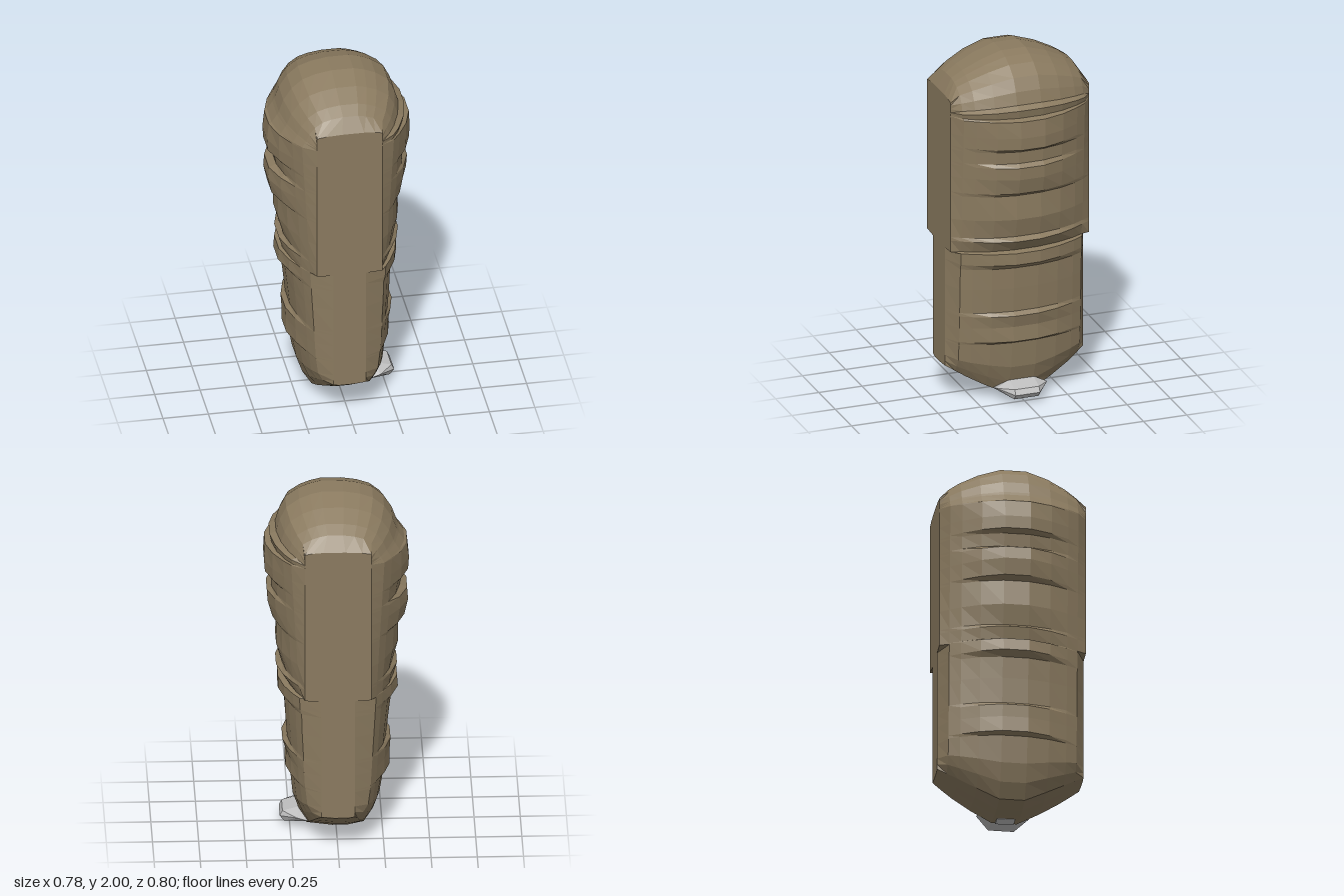
import * as THREE from 'three';
import { ConvexGeometry } from 'three/addons/geometries/ConvexGeometry.js';

// Mid outline, bottom to top: height, reach to -x, reach to +x
const ROWS = [
  [0, 0.06, 0.02], [0.02, 0.15, 0.16], [0.1, 0.2, 0.2], [0.2, 0.235, 0.235], [0.35, 0.26, 0.25],
  [0.365, 0.29, 0.275], [0.45, 0.29, 0.27], [0.52, 0.295, 0.29], [0.54, 0.27, 0.265],
  [0.68, 0.285, 0.275], [0.8, 0.3, 0.28], [0.83, 0.335, 0.315], [0.897, 0.33, 0.315],
  [0.903, 0.31, 0.272], [0.97, 0.33, 0.325], [0.99, 0.305, 0.295], [1.1, 0.335, 0.325],
  [1.24, 0.335, 0.32], [1.26, 0.37, 0.345], [1.35, 0.39, 0.37], [1.42, 0.385, 0.375],
  [1.44, 0.345, 0.35], [1.51, 0.36, 0.355], [1.53, 0.39, 0.385], [1.6, 0.395, 0.39],
  [1.695, 0.385, 0.385], [1.705, 0.37, 0.35], [1.75, 0.34, 0.36], [1.77, 0.33, 0.325],
  [1.84, 0.305, 0.305], [1.91, 0.26, 0.27], [1.96, 0.2, 0.2], [1.985, 0.13, 0.14], [2, 0.04, 0.08],
];

// Depth slices: z, ledge strength, width ratio, lowest y, highest y
const HALF = [
  [0.07, 1, 1, 0, 2], [0.19, 0.6, 0.93, 0.065, 1.96], [0.29, 0.15, 0.81, 0.125, 1.91],
  [0.35, 0, 0.7, 0.165, 1.87], [0.4, 0, 0, 0.197, 1.79],
];
const SLICES = [...HALF.map(([z, ...rest]) => [-z, ...rest]).reverse(), ...HALF];

// Width of one side of the body at a slice
function reach(x, y, strength, ratio) {
  if (ratio === 0) return Math.min(x, y < 0.9 ? 0.09 : 0.18);
  const base = Math.min(x, 0.225 + 0.08 * y);
  return (base + (x - base) * strength) * ratio;
}

// Ends of the body round off towards the front and back
function height(y, low, high) {
  if (y < 0.3) return 0.3 - (0.3 - y) * (0.3 - low) / 0.3;
  if (y > 1.7) return 1.7 + (y - 1.7) * (high - 1.7) / 0.3;
  return y;
}

function bodyGeometry() {
  const n = ROWS.length, loop = n * 2, pos = [], idx = [];
  for (const [z, strength, ratio, low, high] of SLICES) {
    for (const [y, , r] of ROWS) pos.push(reach(r, y, strength, ratio), height(y, low, high), z);
    for (const [y, l] of [...ROWS].reverse()) pos.push(-reach(l, y, strength, ratio), height(y, low, high), z);
  }
  // Skin between neighbouring slices
  for (let j = 0; j < SLICES.length - 1; j++) {
    for (let i = 0; i < loop; i++) {
      const k = (i + 1) % loop;
      const a = j * loop + i, b = j * loop + k, c = b + loop, d = a + loop;
      idx.push(a, b, c, a, c, d);
    }
  }
  // Flat front and back faces
  const front = (SLICES.length - 1) * loop;
  for (let i = 0; i < n - 1; i++) {
    const a = i, b = i + 1, c = loop - 2 - i, d = loop - 1 - i;
    idx.push(front + a, front + b, front + c, front + a, front + c, front + d);
    idx.push(a, c, b, a, d, c);
  }
  const g = new THREE.BufferGeometry();
  g.setAttribute('position', new THREE.Float32BufferAttribute(pos, 3));
  g.setIndex(idx);
  const flat = g.toNonIndexed();
  flat.computeVertexNormals();
  return flat;
}

export function createModel() {
  const group = new THREE.Group();
  group.name = 'rockPillar';
  const brown = new THREE.MeshStandardMaterial({ color: 0x8a7a5f });
  brown.name = 'earth brown';
  const grey = new THREE.MeshStandardMaterial({ color: 0xbebebe });
  grey.name = 'pale grey';

  const add = (name, geometry, material) => {
    const mesh = new THREE.Mesh(geometry, material);
    mesh.name = name;
    group.add(mesh);
    return mesh;
  };

  add('body', bodyGeometry(), brown);

  // Pale stone jutting out at the foot, tapered at both ends
  const points = [];
  for (const s of [-1, 1]) {
    for (const [x, y] of [[0.14, 0.03], [0.28, 0.03], [0.305, 0.06], [0.29, 0.09], [0.2, 0.115], [0.14, 0.1]]) {
      points.push(new THREE.Vector3(x, y, s * 0.07));
    }
    points.push(new THREE.Vector3(0.15, 0.06, s * 0.145), new THREE.Vector3(0.215, 0.08, s * 0.145));
  }
  add('footStone', new ConvexGeometry(points), grey);

  // Small pale chip under the foot
  add('baseChip', new THREE.BoxGeometry(0.07, 0.009, 0.1), grey).position.set(0.105, 0.009, 0);
  return group;
}
